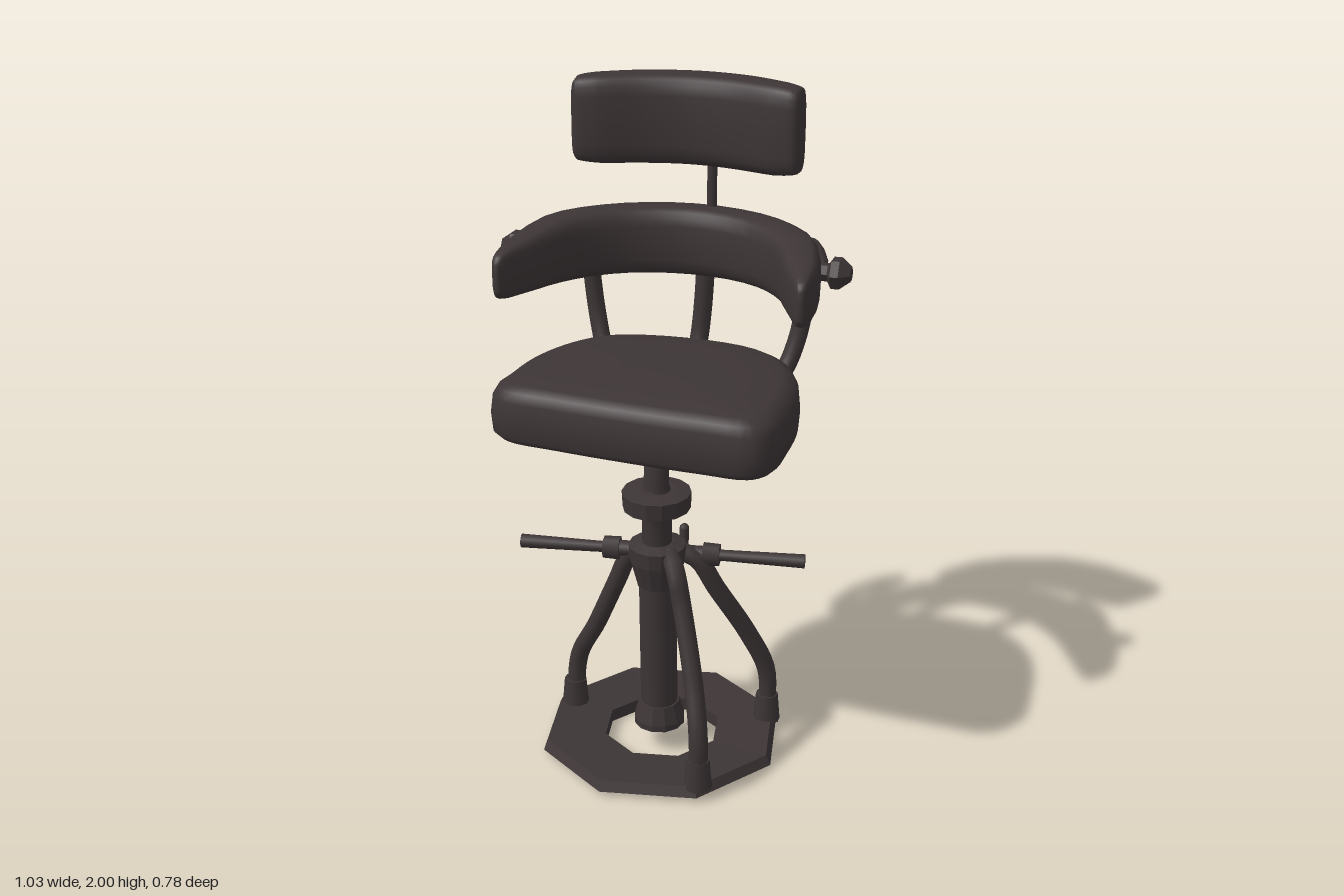
import * as THREE from 'three';

const V = (x, y, z) => new THREE.Vector3(x, y, z);

// Closed skin over a list of rings (each a loop of points), capped at both ends.
function loft(rings) {
  const n = rings[0].length, pos = [], idx = [];
  rings.forEach(r => r.forEach(p => pos.push(p.x, p.y, p.z)));
  for (let i = 0; i < rings.length - 1; i++) {
    for (let j = 0; j < n; j++) {
      const k = (j + 1) % n, a = i * n, b = a + n;
      idx.push(a + j, a + k, b + k, a + j, b + k, b + j);
    }
  }
  const cap = (ring, start, flip) => {
    const c = ring.reduce((s, p) => s.add(p), V(0, 0, 0)).divideScalar(n);
    const ci = pos.length / 3;
    pos.push(c.x, c.y, c.z);
    for (let j = 0; j < n; j++) {
      const a = start + j, b = start + (j + 1) % n;
      idx.push(ci, flip ? b : a, flip ? a : b);
    }
  };
  cap(rings[0], 0, true);
  cap(rings[rings.length - 1], (rings.length - 1) * n, false);
  const g = new THREE.BufferGeometry();
  g.setAttribute('position', new THREE.Float32BufferAttribute(pos, 3));
  g.setIndex(idx);
  g.computeVertexNormals();
  return g;
}

// Padded bar swept along a curve; stations are [x, y, z, halfDepth, halfHeight].
function paddedBar(stations, boxiness, steps = 32, sides = 20) {
  const path = new THREE.CatmullRomCurve3(stations.map(s => V(s[0], s[1], s[2])));
  const size = new THREE.CatmullRomCurve3(stations.map(s => V(s[3], s[4], 0)));
  const up = V(0, 1, 0), rings = [];
  const soft = c => Math.sign(c) * Math.pow(Math.abs(c), boxiness);
  for (let i = 0; i <= steps; i++) {
    const t = i / steps, p = path.getPoint(t), s = size.getPoint(t);
    const side = up.clone().cross(path.getTangent(t).setY(0).normalize());
    const ring = [];
    for (let j = 0; j < sides; j++) {
      const a = j / sides * Math.PI * 2;
      ring.push(p.clone().addScaledVector(side, soft(Math.cos(a)) * s.x)
        .addScaledVector(up, soft(Math.sin(a)) * s.y));
    }
    rings.push(ring);
  }
  return loft(rings);
}

// Mirrors the stations of one half (end to centre) to make a full curved bar.
const mirrored = half => [...half, ...half.slice(0, -1).reverse().map(s => [-s[0], ...s.slice(1)])];

export function createModel() {
  const model = new THREE.Group();
  const mat = new THREE.MeshStandardMaterial({ color: 0x3d3536 });
  mat.name = 'dark brown';

  const add = (name, geo, parent = model) => {
    const m = new THREE.Mesh(geo, mat);
    m.name = name;
    parent.add(m);
    return m;
  };
  // Round bar through points, with closed ends
  const rod = (name, pts, r) => {
    const curve = new THREE.CatmullRomCurve3(pts.map(p => V(...p)));
    const g = new THREE.Group();
    g.name = name;
    add(name + 'Bar', new THREE.TubeGeometry(curve, 24, r, 10), g);
    for (const p of [pts[0], pts[pts.length - 1]])
      add(name + 'End', new THREE.SphereGeometry(r, 10, 6), g).position.set(...p);
    model.add(g);
  };
  const lathe = (pts, sides) =>
    new THREE.LatheGeometry(pts.map(p => new THREE.Vector2(...p)), sides);
  const flat = geo => {
    const g = geo.toNonIndexed();
    g.computeVertexNormals();
    return g;
  };

  // Eight-sided floor ring
  const ring = add('floorRing', flat(lathe([[0.18, 0], [0.35, 0], [0.375, 0.015],
    [0.36, 0.045], [0.18, 0.04], [0.18, 0]], 8)));
  ring.position.z = 0.02;
  ring.rotation.y = -0.22;

  // Slightly leaning column with hub, screw disc and neck
  const column = new THREE.Group();
  column.name = 'column';
  column.position.z = 0.044;
  column.rotation.x = 0.035;
  model.add(column);
  add('columnFoot', flat(lathe([[0, 0.08], [0.078, 0.08], [0.078, 0.1], [0.062, 0.155], [0, 0.155]], 12)), column);
  add('tube', new THREE.CylinderGeometry(0.056, 0.056, 0.5, 16).translate(0, 0.38, 0), column);
  add('hub', flat(lathe([[0, 0.56], [0.062, 0.56], [0.082, 0.64], [0.085, 0.69], [0.05, 0.7], [0, 0.7]], 14)), column);
  add('upperTube', lathe([[0.044, 0.68], [0.044, 0.77], [0.06, 0.815]], 16), column);
  add('screwDisc', flat(lathe([[0, 0.81], [0.1, 0.812], [0.102, 0.862], [0.06, 0.868], [0, 0.868]], 14)), column);
  add('neck', lathe([[0.045, 0.86], [0.038, 0.88], [0.036, 0.97], [0.015, 1.025], [0.022, 1.05], [0.022, 1.09]], 12), column);

  // Three bent legs, each with a sleeve on the floor ring
  const legs = [
    [[0.05, 0.67, 0.1], [0.085, 0.655, 0.165], [0.11, 0.56, 0.185], [0.165, 0.35, 0.25], [0.195, 0.2, 0.3], [0.195, 0.04, 0.3]],
    [[0.05, 0.66, 0.03], [0.11, 0.63, 0.02], [0.16, 0.53, -0.01], [0.245, 0.35, -0.08], [0.295, 0.21, -0.12], [0.297, 0.04, -0.125]],
    [[-0.05, 0.66, 0.04], [-0.1, 0.62, 0.03], [-0.14, 0.53, 0.02], [-0.22, 0.35, -0.01], [-0.29, 0.21, -0.04], [-0.305, 0.04, -0.04]],
  ];
  for (const pts of legs) {
    rod('leg', pts, 0.028);
    const [x, , z] = pts[pts.length - 1];
    add('legSleeve', new THREE.CylinderGeometry(0.034, 0.042, 0.09, 10)).position.set(x, 0.08, z);
  }

  // Cross handle with nuts and a small hook
  const handle = new THREE.Group();
  handle.name = 'crossHandle';
  handle.position.set(0, 0.645, 0.025);
  handle.rotation.y = 0.13;
  model.add(handle);
  for (const s of [-1, 1]) {
    const along = (name, r1, r2, len, x, n) => {
      const m = add(name, new THREE.CylinderGeometry(r1, r2, len, n), handle);
      m.rotation.z = -s * Math.PI / 2;
      m.position.x = s * x;
    };
    along('grip', 0.021, 0.015, 0.35, 0.252, 10);
    along('nut', 0.033, 0.035, 0.05, 0.15, 6);
    along('collar', 0.024, 0.024, 0.1, 0.1, 10);
  }
  rod('hook', [[0.05, 0.635, 0.0], [0.05, 0.645, -0.035], [0.05, 0.695, -0.045]], 0.015);

  // Cushioned seat, wide in front and rounded behind
  const outline = new THREE.CatmullRomCurve3([
    [0, 0.365], [0.22, 0.38], [0.36, 0.382], [0.405, 0.335], [0.415, 0.2], [0.405, 0.02], [0.36, -0.12],
    [0.25, -0.235], [0, -0.28], [-0.25, -0.235], [-0.36, -0.12], [-0.41, 0.02], [-0.425, 0.17],
    [-0.43, 0.26], [-0.385, 0.312], [-0.22, 0.34],
  ].map(p => V(p[0], 0, p[1])), true).getPoints(64).slice(0, 64);
  const layers = [[0.3, 1.075], [0.8, 1.068], [0.95, 1.062], [0.99, 1.08], [1, 1.13],
    [0.985, 1.185], [0.95, 1.212], [0.87, 1.228], [0.6, 1.236], [0.25, 1.239]];
  add('seat', loft(layers.map(([s, y]) =>
    outline.map(p => V(p.x * s, y, 0.05 + (p.z - 0.05) * s)))));

  // Wraparound arm and back pad
  add('armPad', paddedBar(mirrored([
    [-0.432, 1.495, 0.185, 0.008, 0.04], [-0.43, 1.497, 0.165, 0.022, 0.065], [-0.405, 1.505, 0.05, 0.05, 0.082],
    [-0.345, 1.515, -0.11, 0.066, 0.098], [-0.2, 1.515, -0.25, 0.07, 0.1], [0, 1.515, -0.3, 0.066, 0.102],
  ]), 0.6));

  // Curved headrest on a thin rod
  add('headrest', paddedBar(mirrored([
    [-0.338, 1.872, -0.215, 0.022, 0.095], [-0.325, 1.872, -0.216, 0.048, 0.12], [-0.27, 1.872, -0.235, 0.062, 0.128],
    [-0.14, 1.872, -0.29, 0.073, 0.13], [0, 1.872, -0.313, 0.077, 0.13],
  ]), 0.5));
  rod('headrestRod', [[0.05, 1.5, -0.315], [0.05, 1.65, -0.317], [0.05, 1.8, -0.318]], 0.015);

  // Bent struts from under the seat to the pad, with side bolts
  rod('backStrut', [[0.025, 1.5, -0.345], [0.022, 1.37, -0.347], [0.01, 1.2, -0.335],
    [0, 1.1, -0.285], [0, 1.065, -0.18]], 0.028);
  for (const s of [-1, 1]) {
    rod('sideStrut', [[0.415, 1.52, -0.13], [0.37, 1.53, -0.25], [0.325, 1.51, -0.325], [0.335, 1.4, -0.342],
      [0.312, 1.22, -0.335], [0.27, 1.11, -0.29], [0.19, 1.065, -0.18]].map(p => [p[0] * s, p[1], p[2]]), 0.027);
    const bolt = add('sideBolt', flat(lathe([[0, 0], [0.026, 0], [0.026, 0.06], [0.046, 0.072],
      [0.046, 0.095], [0.022, 0.125], [0, 0.125]], 6)));
    bolt.rotation.z = -s * Math.PI / 2;
    bolt.position.set(s * 0.39, 1.515, -0.085);
  }
  return model;
}
